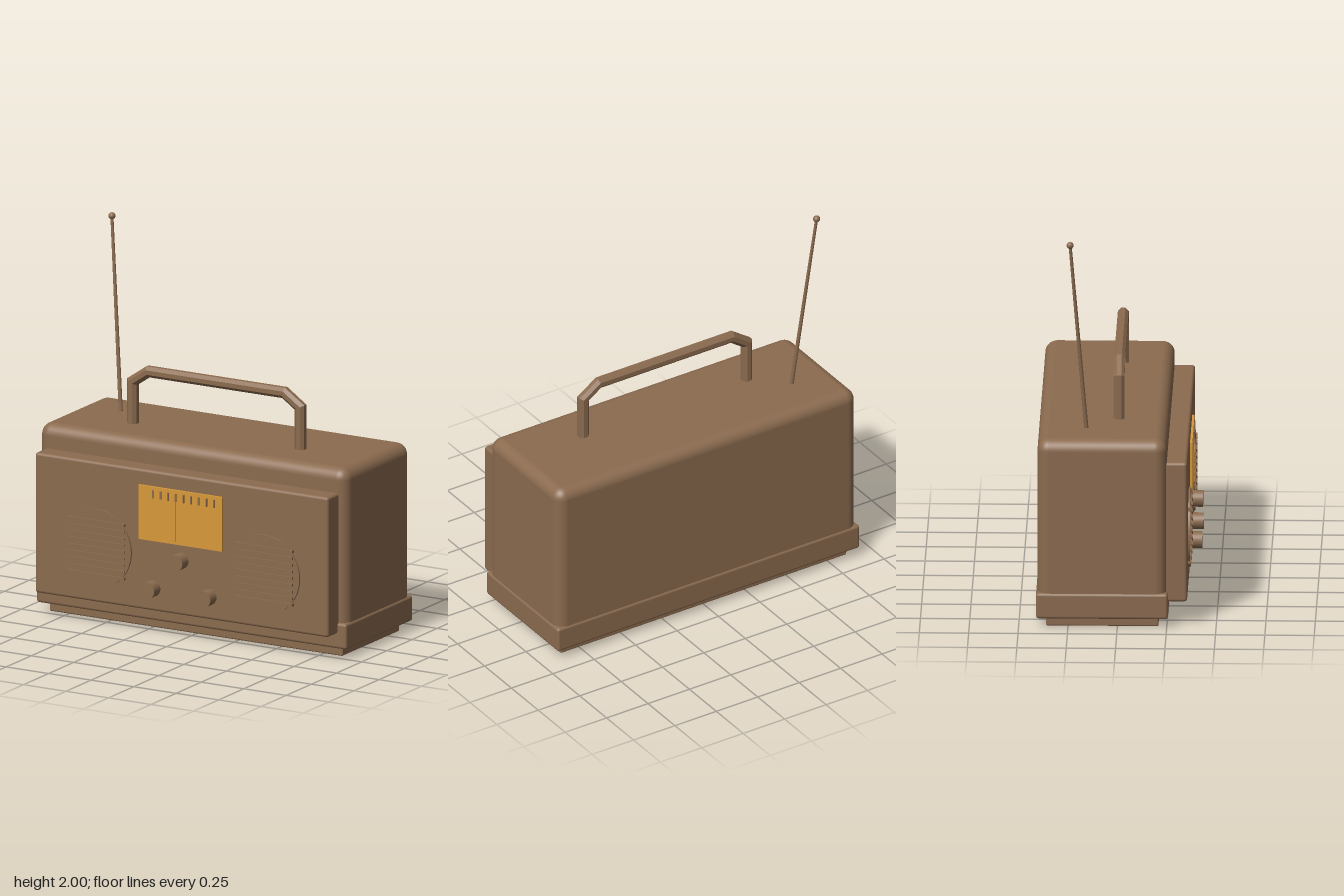
import * as THREE from 'three';
import { RoundedBoxGeometry } from 'three/addons/geometries/RoundedBoxGeometry.js';

const brown = new THREE.MeshStandardMaterial({ name: 'brown casing', color: 0x8b6b4f });
const amber = new THREE.MeshStandardMaterial({ name: 'amber dial', color: 0xd8983a });
const flatBrown = brown; // facets come from split vertices

function add(parent, name, geometry, material = brown) {
  const mesh = new THREE.Mesh(geometry, material);
  mesh.name = name;
  parent.add(mesh);
  return mesh;
}

// Box given by its extents, optionally with rounded edges
function box(parent, name, [x0, x1], [y0, y1], [z0, z1], radius = 0, material = brown) {
  const size = [x1 - x0, y1 - y0, z1 - z0];
  const geometry = radius
    ? new RoundedBoxGeometry(...size, radius > 0.03 ? 5 : 2, radius)
    : new THREE.BoxGeometry(...size);
  const mesh = add(parent, name, geometry, material);
  mesh.position.set((x0 + x1) / 2, (y0 + y1) / 2, (z0 + z1) / 2);
  return mesh;
}

// Round part whose axis points forward
function disc(parent, name, x, y, z0, z1, radius, sides) {
  const mesh = add(parent, name, new THREE.CylinderGeometry(radius, radius, z1 - z0, sides).rotateX(Math.PI / 2));
  mesh.position.set(x, y, (z0 + z1) / 2);
  return mesh;
}

// Faceted bar swept along a path in the xy plane, with mitred corners
function mitredBar(points, radius, sides) {
  const path = points.map(([x, y]) => new THREE.Vector2(x, y));
  const positions = [], index = [];
  path.forEach((p, i) => {
    const before = p.clone().sub(path[Math.max(i - 1, 0)]).normalize();
    const after = path[Math.min(i + 1, path.length - 1)].clone().sub(p).normalize();
    const tangent = before.clone().add(after).normalize();
    const along = i === 0 ? after : before;
    const stretch = radius / tangent.dot(along);
    for (let j = 0; j < sides; j++) {
      const a = ((j + 0.5) / sides) * Math.PI * 2;
      const n = Math.cos(a) * stretch;
      positions.push(p.x - tangent.y * n, p.y + tangent.x * n, Math.sin(a) * radius);
      if (i < path.length - 1) {
        const k = i * sides, m = (j + 1) % sides;
        index.push(k + j, k + m, k + sides + j, k + m, k + sides + m, k + sides + j);
      }
    }
  });
  const indexed = new THREE.BufferGeometry();
  indexed.setAttribute('position', new THREE.Float32BufferAttribute(positions, 3));
  indexed.setIndex(index);
  const geometry = indexed.toNonIndexed();
  geometry.computeVertexNormals();
  return geometry;
}

export function createModel() {
  const radio = new THREE.Group();
  radio.name = 'portableRadio';

  // Casing
  box(radio, 'body', [-0.905, 0.905], [0.06, 0.99], [-0.405, 0.25], 0.06);
  box(radio, 'baseBand', [-0.912, 0.912], [0.05, 0.185], [-0.412, 0.257], 0.015);
  box(radio, 'plinth', [-0.862, 0.862], [0, 0.06], [-0.362, 0.208], 0.008);
  box(radio, 'frontPanel', [-0.862, 0.862], [0.13, 0.865], [0.2, 0.353], 0.015);

  // Speakers with horizontal slats
  for (const side of [-1, 1]) {
    const speaker = new THREE.Group();
    speaker.name = side < 0 ? 'rightSpeaker' : 'leftSpeaker';
    const x = side * 0.495;
    disc(speaker, 'speakerDisc', x, 0.417, 0.34, 0.363, 0.205, 32);
    for (let i = -4; i <= 4; i++) {
      const y = 0.417 + i * 0.035;
      box(speaker, 'slat', [x - 0.167, x + 0.167], [y - 0.007, y + 0.007], [0.35, 0.37]);
    }
    radio.add(speaker);
  }

  // Tuning dial with scale marks and needle
  const dial = new THREE.Group();
  dial.name = 'tuningDial';
  box(dial, 'dialPlate', [-0.246, 0.246], [0.5, 0.785], [0.34, 0.365], 0, amber);
  for (let i = -4; i <= 4; i++) {
    const x = 0.021 + i * 0.045;
    box(dial, 'scaleMark', [x - 0.004, x + 0.004], [0.725, 0.767], [0.363, 0.371]);
  }
  box(dial, 'needle', [-0.035, -0.027], [0.515, 0.735], [0.363, 0.371], 0, amber);
  radio.add(dial);

  // Knobs
  for (const [x, y] of [[0, 0.417], [-0.165, 0.25], [0.165, 0.25]]) {
    disc(radio, 'knob', x, y, 0.34, 0.414, 0.042, 24);
  }

  // Carrying handle
  add(radio, 'handle', mitredBar([
    [-0.493, 0.95], [-0.493, 1.208], [-0.4, 1.272],
    [0.4, 1.272], [0.493, 1.208], [0.493, 0.95],
  ], 0.03, 8), flatBrown);

  // Leaning aerial with a ball tip
  const foot = new THREE.Vector3(-0.658, 0.96, -0.16);
  const tip = new THREE.Vector3(-0.76, 1.982, -0.242);
  const lean = tip.clone().sub(foot);
  const rod = add(radio, 'aerialRod', new THREE.CylinderGeometry(0.008, 0.011, lean.length(), 10));
  rod.position.copy(foot).add(tip).multiplyScalar(0.5);
  rod.quaternion.setFromUnitVectors(new THREE.Vector3(0, 1, 0), lean.normalize());
  add(radio, 'aerialTip', new THREE.SphereGeometry(0.018, 16, 12)).position.copy(tip);

  return radio;
}
